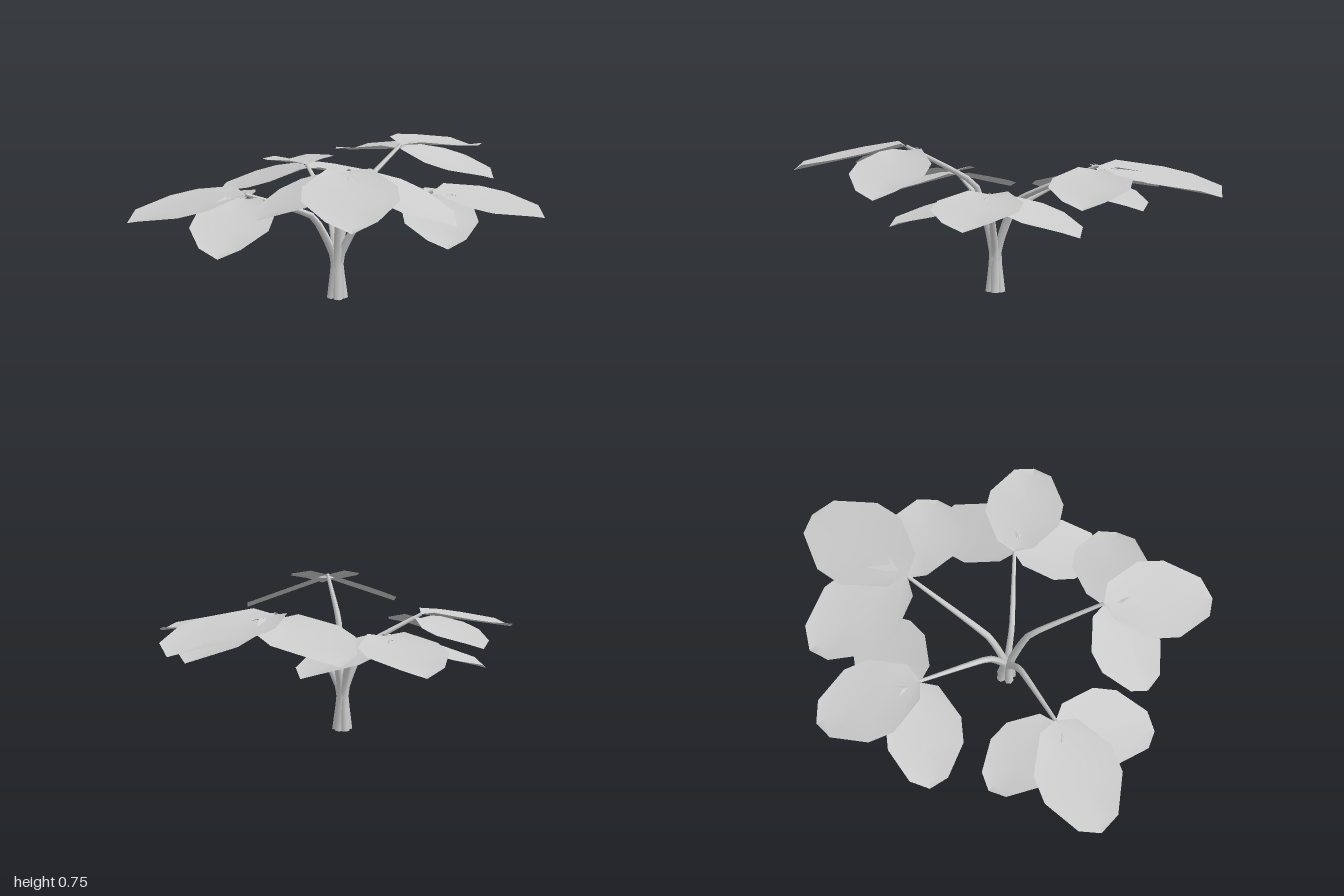
import * as THREE from 'three';

const material = new THREE.MeshStandardMaterial({ color: 0xcccccc, side: THREE.DoubleSide });
const V = (p) => new THREE.Vector3(...p);

// Each stem: elbow, tip, and the end points of its middle and two side leaves
const STEMS = [
  { elbow: [-0.02, 0.46, 0.04], tip: [-0.07, 0.655, -0.39],
    leaves: [[-0.07, 0.557, -1.0], [-0.6, 0.52, -0.56], [0.38, 0.52, -0.58]] },
  { elbow: [0.11, 0.41, 0.09], tip: [0.375, 0.55, -0.1],
    leaves: [[0.84, 0.47, -0.32], [0.70, 0.42, 0.2], [0.36, 0.40, -0.56]] },
  { elbow: [0.08, 0.54, 0.21], tip: [0.34, 0.735, 0.42],
    leaves: [[0.71, 0.63, 0.79], [0.18, 0.57, 0.8], [0.765, 0.54, 0.23]] },
  { elbow: [-0.05, 0.42, 0.26], tip: [-0.185, 0.56, 0.55],
    leaves: [[-0.45, 0.47, 1.0], [-0.6, 0.44, 0.49], [0.09, 0.415, 0.93]] },
  { elbow: [-0.10, 0.41, 0.10], tip: [-0.41, 0.555, -0.05],
    leaves: [[-0.84, 0.47, -0.32], [-0.75, 0.405, 0.27], [-0.32, 0.42, -0.5]] },
];

// Unit leaf along -z: [distance, half width] rows, edges raised above the midrib
function leafGeometry() {
  const rows = [[0, 0], [0.05, 0.17], [0.36, 0.355], [0.6, 0.355], [0.91, 0.18], [1, 0]];
  const positions = [];
  const index = [];
  rows.forEach(([s, w], i) => {
    const lift = w > 0 ? 0.045 : 0;
    positions.push(-w, lift, -s, 0, 0, -s, w, lift, -s);
    if (i === 0) return;
    for (let k = 0; k < 2; k++) {
      const a = (i - 1) * 3 + k;
      const c = i * 3 + k;
      if (i > 1 || k === 0) index.push(a, a + 1, c);
      index.push(a + 1, c + 1, c);
    }
  });
  const geometry = new THREE.BufferGeometry();
  geometry.setAttribute('position', new THREE.Float32BufferAttribute(positions, 3));
  geometry.setIndex(index);
  geometry.computeVertexNormals();
  return geometry;
}

// Places a leaf between its base and its end point
function makeLeaf(geometry, base, end) {
  const d = end.clone().sub(base);
  const length = d.length();
  d.normalize();
  const side = new THREE.Vector3().crossVectors(d, new THREE.Vector3(0, 1, 0)).normalize();
  const normal = new THREE.Vector3().crossVectors(side, d);
  const leaf = new THREE.Mesh(geometry, material);
  leaf.quaternion.setFromRotationMatrix(new THREE.Matrix4().makeBasis(side, normal, d.clone().negate()));
  leaf.position.copy(base);
  leaf.scale.setScalar(length);
  return leaf;
}

// Tapered tube through the given points
function stemGeometry(points) {
  const steps = 14;
  const sides = 6;
  const curve = new THREE.CatmullRomCurve3(points, false, 'catmullrom', 0.2);
  const geometry = new THREE.TubeGeometry(curve, steps, 1, sides);
  const pos = geometry.attributes.position;
  const p = new THREE.Vector3();
  for (let i = 0; i <= steps; i++) {
    const centre = curve.getPointAt(i / steps);
    const radius = THREE.MathUtils.lerp(0.024, 0.009, i / steps);
    for (let j = 0; j <= sides; j++) {
      const n = i * (sides + 1) + j;
      p.fromBufferAttribute(pos, n).sub(centre).multiplyScalar(radius).add(centre);
      pos.setXYZ(n, p.x, i === 0 ? 0 : p.y, p.z);
    }
  }
  geometry.computeVertexNormals();
  return geometry;
}

export function createModel() {
  const group = new THREE.Group();
  group.name = 'plant';
  const leafShape = leafGeometry();
  const capShape = new THREE.CircleGeometry(0.023, 6).rotateX(Math.PI / 2);

  STEMS.forEach(({ elbow, tip, leaves }, i) => {
    const branch = new THREE.Group();
    branch.name = 'branch' + (i + 1);
    const tipPoint = V(tip);

    // Stems are bundled together at the ground and fan out above it
    const a = Math.atan2(tip[2] - 0.15, tip[0]);
    const ring = (r, y) => new THREE.Vector3(r * Math.cos(a), y, 0.15 + r * Math.sin(a));
    const foot = ring(0.029, 0);
    const stem = new THREE.Mesh(stemGeometry([foot, ring(0.012, 0.2), V(elbow), tipPoint]), material);
    stem.name = 'stem';
    const cap = new THREE.Mesh(capShape, material);
    cap.name = 'stemFoot';
    cap.position.copy(foot);
    branch.add(stem, cap);

    // One middle leaf and two lower side leaves
    leaves.forEach((end, k) => {
      const base = tipPoint.clone();
      if (k > 0) base.y -= 0.02;
      const leaf = makeLeaf(leafShape, base, V(end));
      leaf.name = k === 0 ? 'middleLeaf' : 'sideLeaf' + k;
      branch.add(leaf);
    });
    group.add(branch);
  });
  return group;
}
